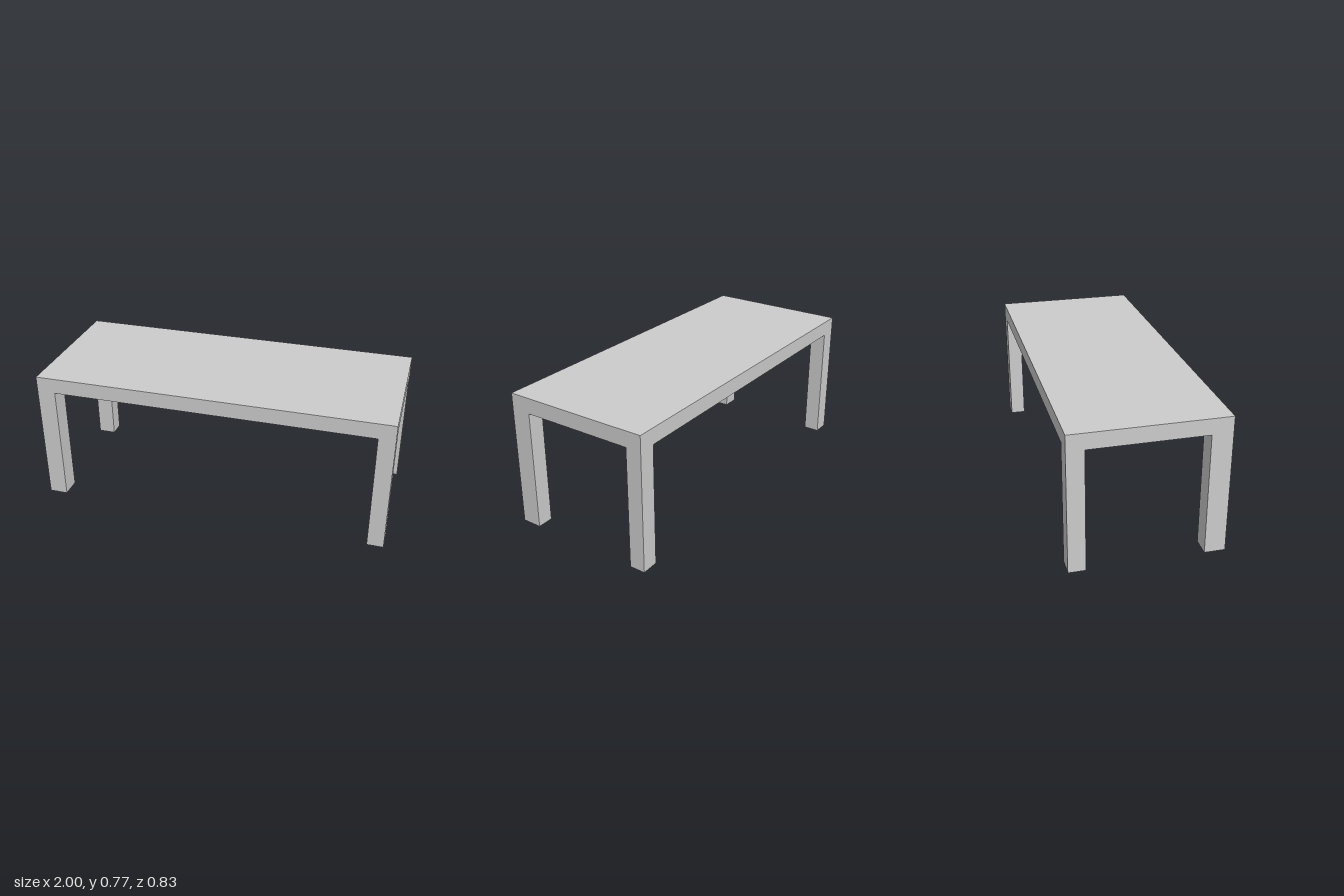
import * as THREE from 'three';

const HALF_X = 1, HALF_Z = 0.416, HEIGHT = 0.768, UNDERSIDE = 0.68;

export function createModel() {
  const table = new THREE.Group();
  table.name = 'table';
  const material = new THREE.MeshStandardMaterial({ color: 0xcccccc, flatShading: true });

  const addBox = (name, w, h, d, x, y, z) => {
    const mesh = new THREE.Mesh(new THREE.BoxGeometry(w, h, d), material);
    mesh.name = name;
    mesh.position.set(x, y, z);
    table.add(mesh);
  };

  // Thick slab top
  const thickness = HEIGHT - UNDERSIDE;
  addBox('tabletop', HALF_X * 2, thickness, HALF_Z * 2, 0, UNDERSIDE + thickness / 2, 0);

  // Legs flush with the corners, each cut slightly differently: name, side x, side z, width, depth
  const legs = [
    ['frontLeftLeg', 1, 1, 0.092, 0.113],
    ['frontRightLeg', -1, 1, 0.105, 0.113],
    ['backLeftLeg', 1, -1, 0.096, 0.088],
    ['backRightLeg', -1, -1, 0.102, 0.093],
  ];
  for (const [name, sx, sz, w, d] of legs) {
    addBox(name, w, UNDERSIDE, d, sx * (HALF_X - w / 2), UNDERSIDE / 2, sz * (HALF_Z - d / 2));
  }
  return table;
}
